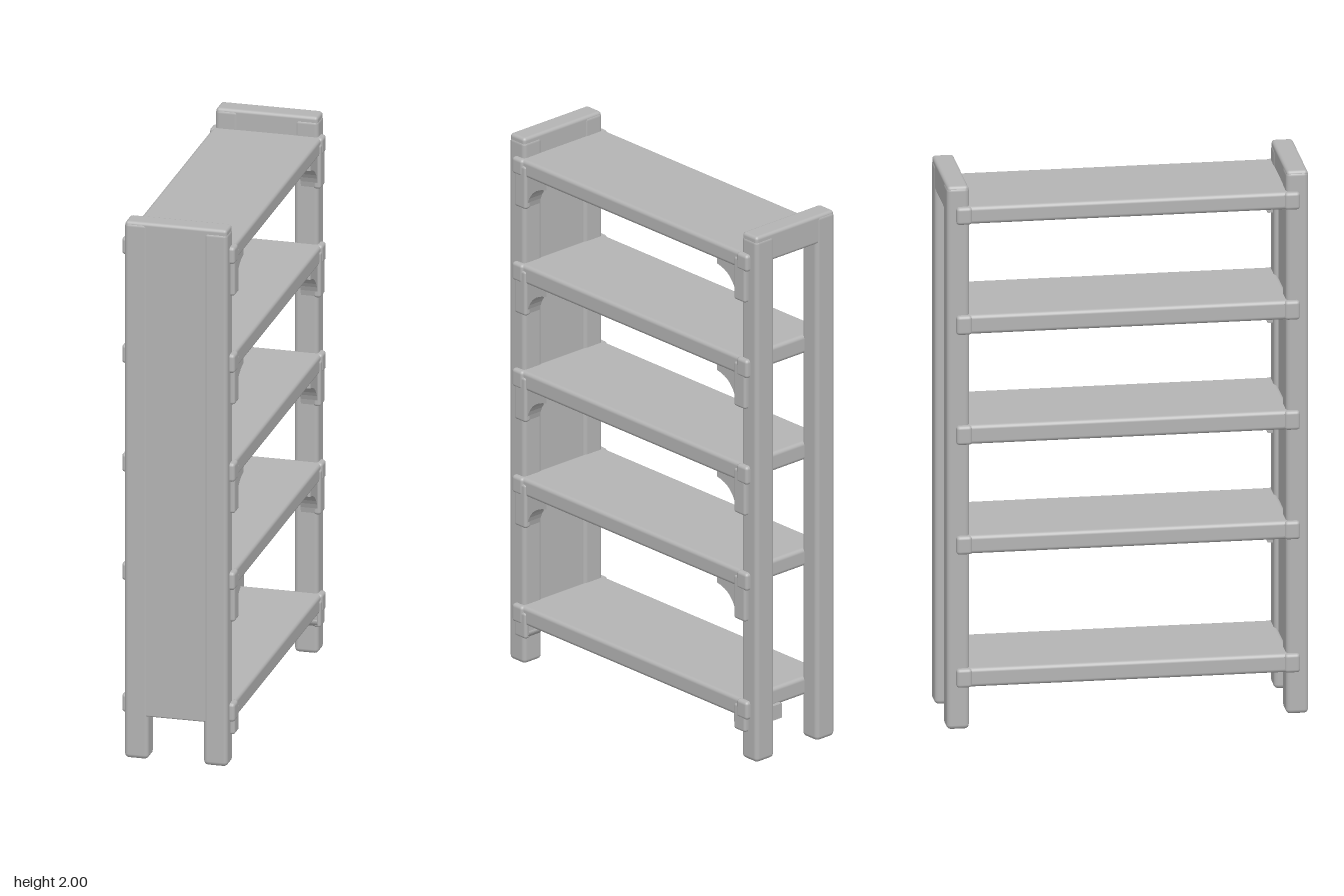
import * as THREE from 'three';
import { RoundedBoxGeometry } from 'three/addons/geometries/RoundedBoxGeometry.js';

export function createModel() {
  const model = new THREE.Group();
  model.name = 'shelfUnit';
  const grey = new THREE.MeshStandardMaterial({ color: 0xb4b4b4 });
  grey.name = 'plain grey';

  const add = (name, geometry) => {
    const mesh = new THREE.Mesh(geometry, grey);
    mesh.name = name;
    model.add(mesh);
    return mesh;
  };
  // softly rounded timber between two corners
  const timber = (name, x0, x1, y0, y1, z0, z1, radius = 0.012) => {
    const g = new RoundedBoxGeometry(x1 - x0, y1 - y0, z1 - z0, 2, radius);
    g.translate((x0 + x1) / 2, (y0 + y1) / 2, (z0 + z1) / 2);
    return add(name, g);
  };

  // four corner posts, with a top rail at each end
  for (const end of [-1, 1]) {
    const z0 = end * 0.6 - 0.04, z1 = end * 0.6 + 0.04;
    timber('leftPost', 0.1, 0.187, 0, 1.985, z0, z1, 0.016);
    timber('rightPost', -0.187, -0.1, 0, 1.995, z0, z1, 0.016);
    timber('topRail', -0.185, 0.185, 1.89, 1.998, z0 + 0.002, z1 - 0.002);
  }

  // closed front end between the posts
  timber('frontPanel', -0.17, 0.17, 0.16, 1.98, 0.575, 0.638, 0.006);

  // curved corner bracket, drawn in (distance from post, height below shelf)
  const bracket = (shelfY, end, inner, drop, reach) => {
    const s = new THREE.Shape();
    s.moveTo(-0.03, 0.01);
    s.lineTo(reach, 0.01);
    s.lineTo(reach, -0.018);
    s.quadraticCurveTo(0.035, -0.03, 0.018, -drop);
    s.lineTo(-0.03, -drop);
    s.closePath();
    const depth = 0.192 - inner;
    const g = new THREE.ExtrudeGeometry(s, { depth, bevelEnabled: false, curveSegments: 8 });
    g.translate(0, 0, -depth / 2);
    const mesh = add('bracket', g);
    mesh.rotation.y = end * Math.PI / 2;
    mesh.position.set((inner + 0.192) / 2, shelfY, end * 0.56);
  };

  // shelves with bevelled tenon ends, and brackets along the left side
  const shelves = [[0.157, 0.226], [0.647, 0.714], [1.05, 1.12], [1.455, 1.525], [1.86, 1.924]];
  shelves.forEach(([y0, y1], i) => {
    timber('shelf', -0.198, 0.198, y0, y1, -0.575, 0.575, 0.014);
    for (const end of [-1, 1]) {
      for (const side of [-1, 1]) {
        const x = side * 0.19;
        timber('tenonEnd', x - 0.015, x + 0.015, y0, y1, end * 0.58 - 0.028, end * 0.58 + 0.028);
      }
      const low = i === 0;
      bracket(y0, end, low && end < 0 ? 0.02 : 0.13, low ? 0.045 : 0.115, low ? 0.03 : 0.12);
      // strap on the outer face of the post
      const bottom = y0 - (low ? 0.05 : 0.12);
      timber('strap', 0.175, 0.203, bottom, y1 - 0.02, end * 0.567 - 0.03, end * 0.567 + 0.03, 0.01);
    }
  });

  return model;
}
